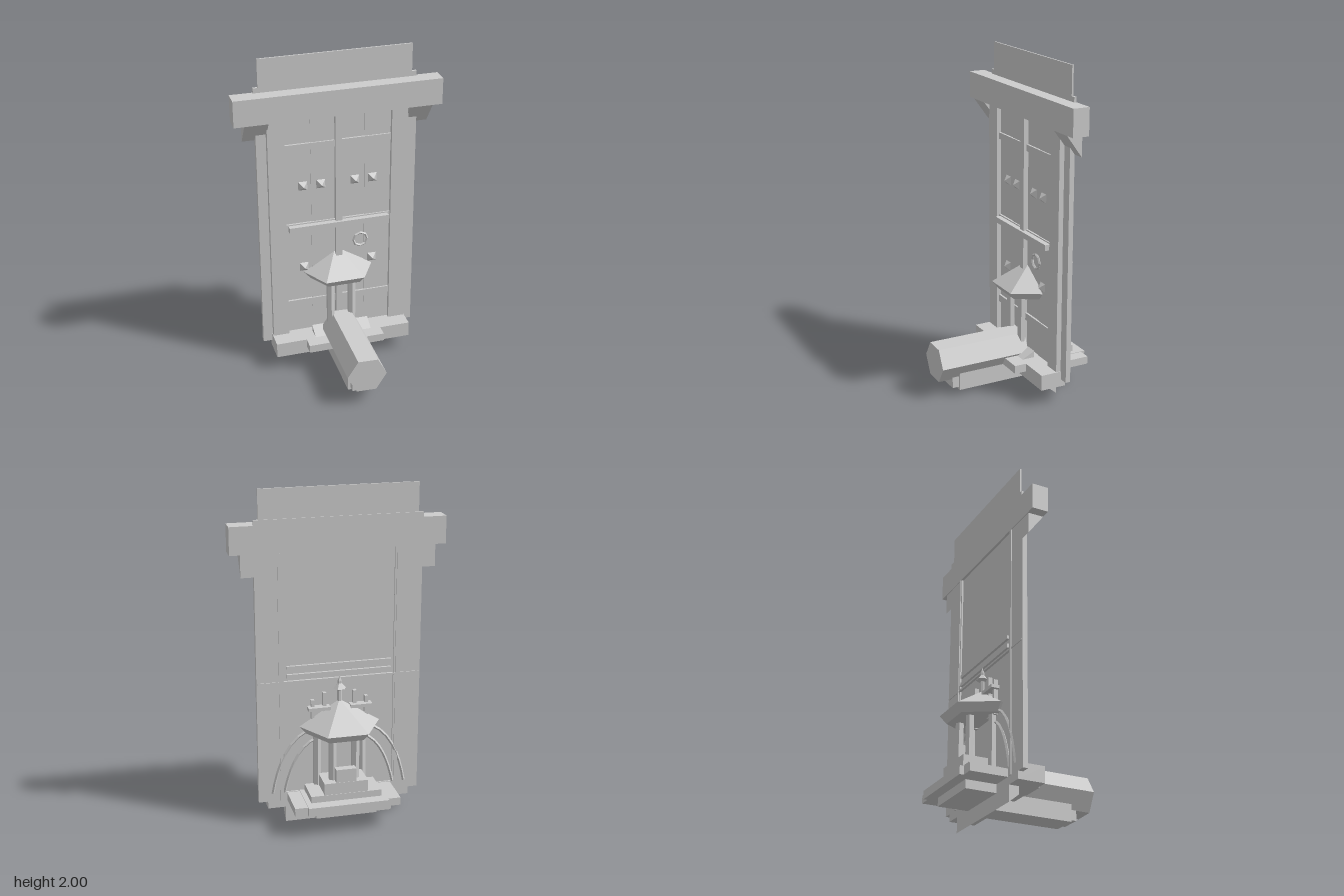
import * as THREE from 'three';

export function createModel() {
  const root = new THREE.Group();
  const stone = new THREE.MeshStandardMaterial({ color: 0xcccccc, flatShading: true });
  stone.name = 'paleStone';

  const add = (name, geo, x = 0, y = 0, z = 0) => {
    const m = new THREE.Mesh(geo, stone);
    m.name = name;
    m.position.set(x, y, z);
    root.add(m);
    return m;
  };
  // box given by its limits on each axis
  const box = (name, x0, x1, y0, y1, z0, z1) =>
    add(name, new THREE.BoxGeometry(x1 - x0, y1 - y0, z1 - z0), (x0 + x1) / 2, (y0 + y1) / 2, (z0 + z1) / 2);
  // prism with a (z, y) profile, extruded along x
  const prism = (name, pts, x0, x1) => {
    const shape = new THREE.Shape(pts.map(p => new THREE.Vector2(...p)));
    const g = new THREE.ExtrudeGeometry(shape, { depth: x1 - x0, bevelEnabled: false });
    g.rotateY(-Math.PI / 2);
    return add(name, g, x1, 0, 0);
  };

  // door planks and cross bands
  for (let i = 0; i < 4; i++) {
    const x = -0.33 + i * 0.165, d = (i % 2) * 0.004;
    box('doorPlank', x, x + 0.165, 0.14, 1.65, -0.19, -0.168 + d);
  }
  for (const [y0, y1] of [[0.37, 0.415], [0.9, 0.95], [1.43, 1.47]])
    box('crossBand', -0.33, 0.33, y0, y1, -0.185, -0.155);
  box('centrePole', -0.02, 0.02, 0.19, 1.64, -0.17, -0.138);
  box('latchBar', -0.31, 0.31, 0.908, 0.943, -0.16, -0.122);

  // pyramid studs and ring handle
  const stud = new THREE.ConeGeometry(0.039, 0.03, 4).rotateY(Math.PI / 4).rotateX(Math.PI / 2);
  for (const [x, y] of [[0.105, 1.195], [0.215, 1.195], [0.215, 0.645]])
    for (const s of [-1, 1]) add('doorStud', stud, s * x, y, -0.149);
  add('ringHandle', new THREE.TorusGeometry(0.044, 0.008, 4, 8), 0.14, 0.785, -0.158);

  // side posts, outer trim, and sloped brackets
  for (const s of [-1, 1]) {
    const side = (name, a, b, ...r) => box(name, Math.min(s * a, s * b), Math.max(s * a, s * b), ...r);
    side('sidePost', 0.325, 0.425, 0.14, 1.65, -0.2, -0.14);
    side('outerTrim', 0.425, 0.485, 0.14, 1.65, -0.2, -0.17);
    side('backRib', 0.335, 0.355, 0.14, 1.64, -0.206, -0.19);
    prism('bracket', [[-0.105, 1.64], [-0.2, 1.64], [-0.2, 1.51]], s > 0 ? 0.42 : -0.56, s > 0 ? 0.56 : -0.42);
    // small wedges beside the trunk
    prism('baseWedge', [[-0.05, 0.19], [-0.13, 0.23], [-0.13, 0.19]], s > 0 ? 0.1 : -0.18, s > 0 ? 0.18 : -0.1);
    // curved braces on the back of the door
    for (const r of [0, 0.07]) {
      const c = new THREE.QuadraticBezierCurve3(
        new THREE.Vector3(s * 0.13, 0.52 + r, -0.2),
        new THREE.Vector3(s * (0.27 + r), 0.48 + r, -0.2),
        new THREE.Vector3(s * (0.33 + r), 0.19, -0.2));
      add('curvedBrace', new THREE.TubeGeometry(c, 8, 0.009, 4));
    }
    // slats and rail behind the roof
    side('backSlat', 0.08, 0.1, 0.55, 0.8, -0.215, -0.19);
    side('backSlat', 0.15, 0.17, 0.55, 0.76, -0.215, -0.19);
    side('slatRail', 0.06, 0.19, 0.7, 0.72, -0.24, -0.19);
  }
  box('backRail', -0.48, 0.48, 0.875, 0.885, -0.205, -0.19);
  box('backBar', -0.31, 0.31, 0.955, 0.975, -0.205, -0.185);
  box('backBar', -0.31, 0.31, 0.9, 0.925, -0.205, -0.185);

  // lintel and top board
  box('lintel', -0.62, 0.62, 1.64, 1.8, -0.205, -0.105);
  box('boardFoot', -0.485, 0.485, 1.8, 1.83, -0.205, -0.19);
  box('topBoard', -0.458, 0.458, 1.8, 2, -0.2, -0.19);

  // stepped base
  box('threshold', -0.43, 0.43, 0.095, 0.19, -0.2, -0.04);
  box('pavilionPlate', -0.24, 0.24, 0.14, 0.19, -0.447, 0.033);
  box('widePlate', -0.315, 0.315, 0.14, 0.187, -0.423, -0.19);
  box('underPlate', -0.18, 0.18, 0.09, 0.14, -0.385, -0.1);
  box('lowerStep', -0.21, 0.21, 0.19, 0.23, -0.38, -0.2);
  box('middleStep', -0.13, 0.13, 0.23, 0.3, -0.377, -0.22);
  box('crest', -0.06, 0.06, 0.3, 0.38, -0.375, -0.33);
  prism('lowerSkirt', [[-0.14, 0.1], [-0.14, 0.05], [-0.2, 0], [-0.2, 0.1]], -0.325, 0.325);

  // pavilion: six columns, hexagonal roof and finial
  const zc = -0.207;
  const hexLathe = pts => new THREE.LatheGeometry(pts.map(p => new THREE.Vector2(...p)), 6, Math.PI / 2);
  const column = new THREE.CylinderGeometry(0.025, 0.025, 0.38, 6);
  for (let i = 0; i < 6; i++) {
    const a = i * Math.PI / 3;
    add('column', column, 0.135 * Math.cos(a), 0.375, zc + 0.117 * Math.sin(a) / 0.866 * 0.9);
  }
  add('pavilionRoof', hexLathe([[0, 0.555], [0.2, 0.555], [0.24, 0.602], [0, 0.752]]), 0, 0, zc);
  add('finial', hexLathe([[0, 0.74], [0.014, 0.74], [0.014, 0.81], [0.038, 0.82], [0.012, 0.85], [0.012, 0.865], [0, 0.9]]), 0, 0, zc);

  // hexagonal trunk lying forward on its foot
  const trunk = new THREE.CylinderGeometry(0.121, 0.121, 0.57, 6).rotateY(Math.PI / 2).rotateX(Math.PI / 2);
  add('trunk', trunk, 0, 0.207, 0.162).rotation.z = -0.04;
  box('trunkFoot', -0.08, 0.08, 0.03, 0.15, -0.2, 0.32);
  box('footNose', -0.065, 0.065, 0.045, 0.13, 0.3, 0.36);

  return root;
}
